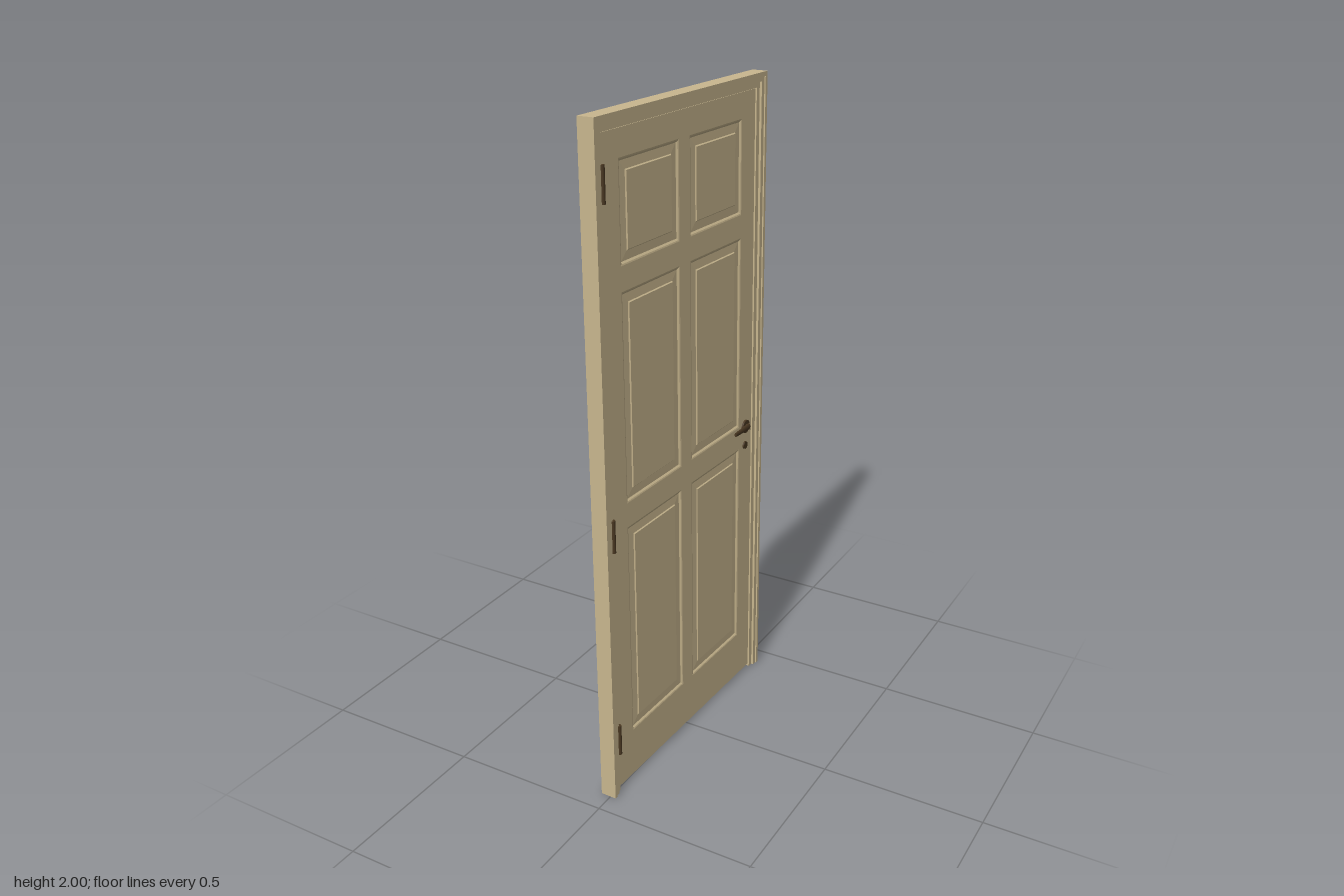
import * as THREE from 'three';

const paint = new THREE.MeshStandardMaterial({ color: 0xc9b78f });
paint.name = 'cream paint';
const bronze = new THREE.MeshStandardMaterial({ color: 0x4a3822 });
bronze.name = 'dark bronze';

function add(parent, name, geometry, material, x = 0, y = 0, z = 0) {
  const mesh = new THREE.Mesh(geometry, material);
  mesh.name = name;
  mesh.position.set(x, y, z);
  parent.add(mesh);
  return mesh;
}

const polygon = (pairs) => new THREE.Shape(pairs.map(([x, y]) => new THREE.Vector2(x, y)));
const rect = (x0, y0, x1, y1) => [[x0, y0], [x1, y0], [x1, y1], [x0, y1]];

// Flat slab centred on z = 0
function slab(shape, half) {
  return new THREE.ExtrudeGeometry(shape, { depth: half * 2, bevelEnabled: false }).translate(0, 0, -half);
}

// Upside-down U: one step of the frame moulding
function frameStep(w, top, innerW, innerTop, half) {
  return slab(polygon([
    [-w, 0], [-innerW, 0], [-innerW, innerTop], [innerW, innerTop],
    [innerW, 0], [w, 0], [w, top], [-w, top],
  ]), half);
}

// Moulded panel: nested rectangles given as [inset, height], closed by a flat field
function mouldedPanel(x0, y0, x1, y1, steps) {
  const loops = steps.map(([d, z]) => rect(x0 + d, y0 + d, x1 - d, y1 - d).map(([x, y]) => [x, y, z]));
  const pos = [];
  const quad = (a, b, c, d) => pos.push(...a, ...b, ...c, ...a, ...c, ...d);
  for (let k = 0; k < loops.length - 1; k++) {
    for (let i = 0; i < 4; i++) {
      const j = (i + 1) % 4;
      quad(loops[k][i], loops[k][j], loops[k + 1][j], loops[k + 1][i]);
    }
  }
  quad(...loops[loops.length - 1]);
  const g = new THREE.BufferGeometry();
  g.setAttribute('position', new THREE.Float32BufferAttribute(pos, 3));
  g.computeVertexNormals();
  return g;
}

export function createModel() {
  const model = new THREE.Group();
  model.name = 'panelDoor';
  const door = new THREE.Group();
  door.name = 'doorAssembly';
  model.add(door);

  // Frame, stepping down towards the leaf
  const steps = [[0.437, 2, 0.025], [0.426, 1.986, 0.021], [0.411, 1.973, 0.014], [0.394, 1.957, 0]];
  for (let i = 0; i < 3; i++) {
    const [w, top, half] = steps[i];
    add(door, 'frameMoulding' + (i + 1), frameStep(w, top, steps[i + 1][0], steps[i + 1][1], half), paint);
  }

  // Leaf with six panel openings
  const face = 0.01;
  const rows = [[0.165, 0.845], [0.92, 1.53], [1.6, 1.88]];
  const columns = [[-0.316, -0.028], [0.028, 0.316]];
  const leaf = polygon(rect(-0.3925, 0.01, 0.3925, 1.955));
  const openings = [];
  for (const [y0, y1] of rows) for (const [x0, x1] of columns) openings.push([x0, y0, x1, y1]);
  for (const o of openings) leaf.holes.push(new THREE.Path(polygon(rect(...o)).getPoints().reverse()));
  add(door, 'leaf', slab(leaf, face), paint);

  // Moulded panels on both faces
  const profile = [[0, face], [0.004, face - 0.001], [0.009, face - 0.005], [0.034, face - 0.004], [0.037, face - 0.001]];
  for (const side of ['front', 'back']) {
    const panels = new THREE.Group();
    panels.name = side + 'Panels';
    if (side === 'back') panels.rotation.y = Math.PI;
    for (const o of openings) add(panels, 'panel', mouldedPanel(...o, profile), paint);
    door.add(panels);
  }

  // Hinges
  for (const y of [0.178, 0.85, 1.828]) {
    add(door, 'hinge', new THREE.CylinderGeometry(0.007, 0.007, 0.1, 12), bronze, -0.391, y, 0.013);
  }

  // Lever handle and keyhole cover
  const disc = (r, h) => new THREE.CylinderGeometry(r, r, h, 24).rotateX(Math.PI / 2);
  const handle = new THREE.Group();
  handle.name = 'handle';
  handle.position.set(0.353, 0.912, face);
  add(handle, 'rose', disc(0.021, 0.006), bronze, 0, 0, 0.003);
  add(handle, 'spindle', disc(0.009, 0.012), bronze, 0, 0, 0.008);
  const lever = new THREE.CylinderGeometry(0.011, 0.007, 0.085, 12).rotateZ(-Math.PI / 2).scale(1, 1, 0.5);
  add(handle, 'lever', lever, bronze, -0.036, 0, 0.011);
  door.add(handle);
  add(door, 'keyholeCover', disc(0.012, 0.005), bronze, 0.352, 0.848, face + 0.0025);

  // Turn the face to the side, with a slight yaw and lean
  door.rotation.y = Math.PI / 2 - 0.033;
  model.rotation.z = 0.008;
  model.position.x = 0.008;
  const root = new THREE.Group();
  root.name = 'door';
  root.add(model);
  return root;
}
